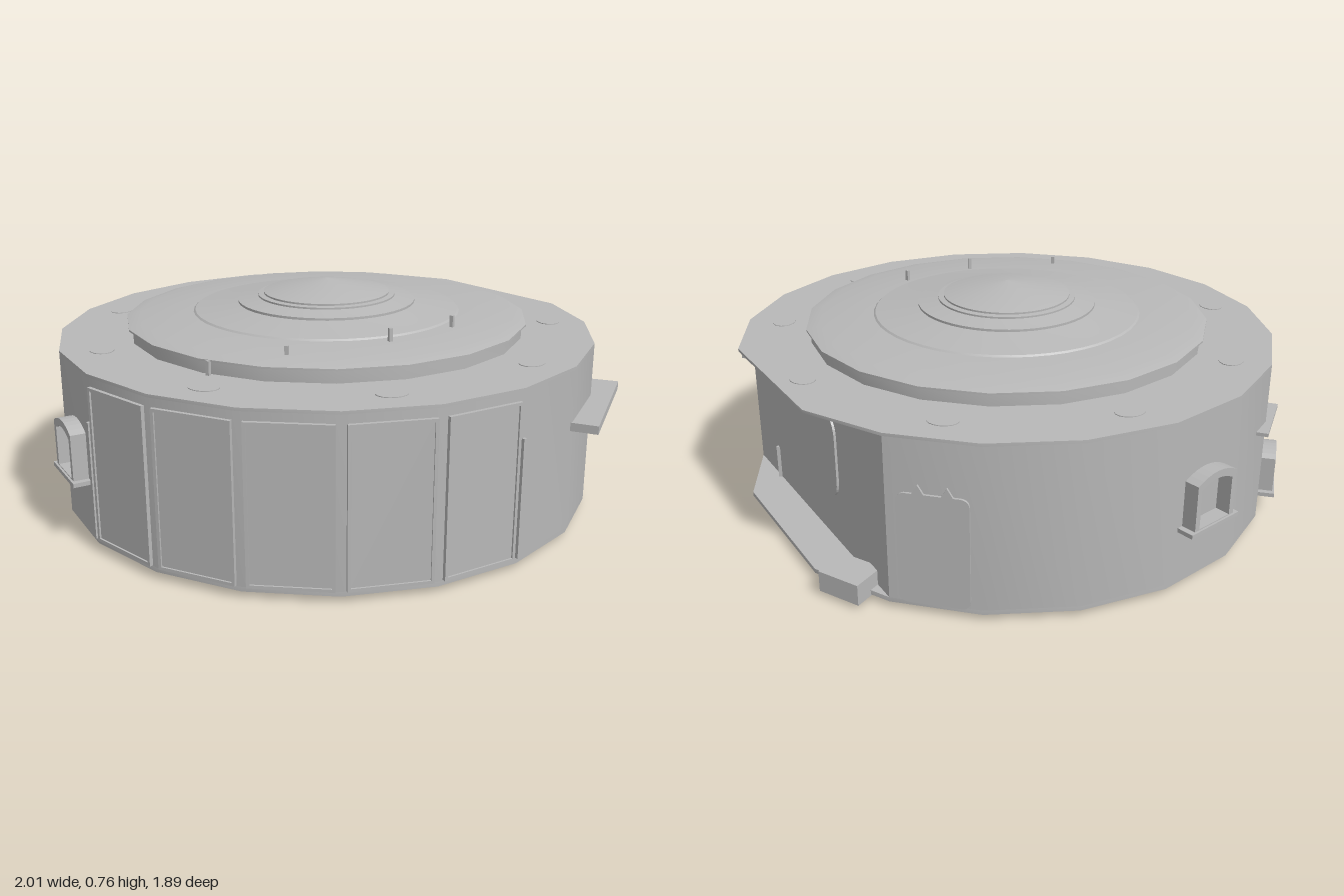
import * as THREE from 'three';
import { toCreasedNormals } from 'three/addons/utils/BufferGeometryUtils.js';

const CX = -0.035, CZ = 0.02, R = 0.93, STEP = Math.PI / 10;
const APOTHEM = R * Math.cos(STEP / 2);
const rad = THREE.MathUtils.degToRad;

export function createModel() {
  const root = new THREE.Group();
  root.name = 'roundHouse';
  const grey = new THREE.MeshStandardMaterial({ color: 0xb8b8b8 });
  grey.name = 'plain grey';

  function add(name, geo, parent, x = 0, y = 0, z = 0) {
    const m = new THREE.Mesh(geo, grey);
    m.name = name;
    m.position.set(x, y, z);
    parent.add(m);
    return m;
  }
  const box = (name, w, h, d, parent, x = 0, y = 0, z = 0) =>
    add(name, new THREE.BoxGeometry(w, h, d), parent, x, y, z);

  // Flat plan shape (x, z) raised from y0 to y1
  function slab(pts, y0, y1) {
    const shape = new THREE.Shape(pts.map(([x, z]) => new THREE.Vector2(x, -z)));
    const g = new THREE.ExtrudeGeometry(shape, { depth: y1 - y0, bevelEnabled: false });
    g.rotateX(-Math.PI / 2).translate(0, y0, 0);
    return toCreasedNormals(g, 0.5);
  }
  // Upright shape standing against the wall
  const upright = (shape, depth) =>
    new THREE.ExtrudeGeometry(shape, { depth, bevelEnabled: false, curveSegments: 8 });

  const house = new THREE.Group();
  house.name = 'house';
  house.position.set(CX, 0, CZ);
  root.add(house);

  // Group on the wall, its +z pointing outward
  function onWall(name, deg, r, y = 0) {
    const g = new THREE.Group();
    g.name = name;
    const a = rad(deg);
    g.position.set(Math.sin(a) * r, y, Math.cos(a) * r);
    g.rotation.y = a;
    house.add(g);
    return g;
  }

  // Twenty-sided plan; the slabs drop one corner, the wall is cut back further
  function plan(skip) {
    const pts = [];
    for (let deg = 9; deg < 360; deg += 18) {
      if (!skip.includes(deg)) pts.push([Math.sin(rad(deg)) * R, Math.cos(rad(deg)) * R]);
    }
    return pts;
  }
  add('floorSlab', slab(plan([135]), 0.02, 0.035), house);
  add('wall', slab(plan([117, 135, 153]), 0.035, 0.575), house);
  add('roofSlab', slab(plan([135]), 0.575, 0.585), house);

  // Stepped shallow roof
  const lathe = (pts, seg, start = 0) => toCreasedNormals(
    new THREE.LatheGeometry(pts.map((p) => new THREE.Vector2(...p)), seg, start), 0.35);
  add('roofDrum', lathe([[0.685, 0.585], [0.685, 0.625], [0.7, 0.628], [0.7, 0.634],
    [0.655, 0.645], [0.46, 0.654]], 20, STEP / 2), house);
  add('roofTier', lathe([[0.47, 0.65], [0.46, 0.659], [0.31, 0.68], [0.31, 0.688],
    [0.24, 0.7], [0.24, 0.706], [0.22, 0.708], [0.22, 0.714], [0, 0.758]], 48), house);

  // Small pegs round the roof edge
  for (const [deg, r, y] of [[-24, 0.7, 0.61], [-5, 0.6, 0.652], [30, 0.5, 0.672], [62, 0.5, 0.668]]) {
    box('roofPeg', 0.012, 0.045, 0.012, onWall('roofPegSpot', deg, r, y));
  }

  // Flat oval pads on the roof rim
  for (let i = 0; i < 9; i++) {
    const pad = add('roofPad', new THREE.CylinderGeometry(0.05, 0.05, 0.003, 16),
      onWall('roofPadSpot', 20 + i * 40, 0.8, 0.586));
    pad.scale.z = 0.8;
  }

  // Five framed front panels
  for (let i = -2; i <= 2; i++) {
    const g = onWall('frontPanel', i * 18, APOTHEM, 0.2925);
    box('panel', 0.24, 0.49, 0.008, g, 0, 0, 0.002);
    for (const s of [-1, 1]) {
      box('panelPost', 0.01, 0.51, 0.016, g, s * 0.125, 0, 0.004);
      box('panelRail', 0.25, 0.01, 0.016, g, 0, s * 0.25, 0.004);
    }
  }
  for (const s of [-1, 1]) {
    box('frontEndPost', 0.012, 0.39, 0.02, onWall('frontEndPostSpot', s * 45, R, 0.235));
  }

  // Arched windows on the model's right
  function arch(target, hw, y0, y1, rise) {
    target.moveTo(-hw, y0);
    target.lineTo(hw, y0);
    target.lineTo(hw, y1);
    target.quadraticCurveTo(0, y1 + rise * 2, -hw, y1);
    target.closePath();
    return target;
  }
  function archedWindow(deg, y, w, h) {
    const g = onWall('archedWindow', deg, APOTHEM, y);
    const frame = arch(new THREE.Shape(), w / 2, 0, h - 0.025, 0.025);
    frame.holes.push(arch(new THREE.Path(), w / 2 - 0.02, 0.015, h - 0.045, 0.02));
    add('windowFrame', upright(frame, 0.055), g, 0, 0, -0.005);
    box('windowSill', w + 0.04, 0.014, 0.06, g, 0, 0.005, 0.027);
  }
  archedWindow(-54, 0.21, 0.18, 0.19);
  archedWindow(-126, 0.21, 0.18, 0.19);
  archedWindow(-90, 0.075, 0.15, 0.16);
  box('narrowShelf', 0.25, 0.012, 0.04, onWall('narrowShelfSpot', -97, 0.93, 0.375));

  // Tapered shelf and its backing plate on the model's left
  add('sideShelf', slab([[0.84, -0.04], [0.88, -0.03], [1, 0], [0.87, 0.48], [0.775, 0.45]],
    0.375, 0.403), root);
  box('shelfPlate', 0.15, 0.11, 0.02, onWall('shelfPlateSpot', 91, 0.918, 0.435));

  // Rounded plate with two ears
  function earedPlate(w, h, c, ear) {
    const s = new THREE.Shape(), a = w / 2;
    s.moveTo(-a + c, 0);
    s.lineTo(a - c, 0);
    s.quadraticCurveTo(a, 0, a, c);
    s.lineTo(a, h - c);
    s.quadraticCurveTo(a, h, a - c, h);
    for (const k of [1, -1]) {
      s.lineTo(k * a * 0.4 + ear * 0.6, h);
      s.lineTo(k * a * 0.4, h + ear);
      s.lineTo(k * a * 0.4 - ear * 0.6, h);
    }
    s.lineTo(-a + c, h);
    s.quadraticCurveTo(-a, h, -a, h - c);
    s.lineTo(-a, c);
    s.quadraticCurveTo(-a, 0, -a + c, 0);
    return s;
  }
  add('earedWindow', upright(earedPlate(0.41, 0.29, 0.07, 0.055), 0.008),
    onWall('earedWindowSpot', 135, R * Math.cos(rad(36)), 0.2));
  add('earedDoor', upright(earedPlate(0.22, 0.37, 0.03, 0.03), 0.008),
    onWall('earedDoorSpot', 180, APOTHEM, 0.035));

  // Block step and low post at the back
  box('backStep', 0.15, 0.07, 0.12, onWall('backStepSpot', 162, 0.92, 0.05));
  box('backPost', 0.012, 0.12, 0.02, onWall('backPostSpot', 110, 0.83, 0.095));

  // Foot disc underneath with a raised paw
  add('footDisc', toCreasedNormals(new THREE.CylinderGeometry(0.365, 0.355, 0.016, 40), 0.5),
    house, 0, 0.013, 0);
  for (const [x, z, sx, sz] of [[0.21, -0.06, 0.055, 0.07], [0.085, -0.18, 0.055, 0.075],
    [-0.08, -0.17, 0.055, 0.075], [-0.2, -0.03, 0.055, 0.07], [0.01, 0.11, 0.15, 0.11]]) {
    const pad = add('pawPad', new THREE.CylinderGeometry(1, 1, 0.006, 24), house, x, 0.003, z);
    pad.scale.set(sx, 1, sz);
  }

  return root;
}
